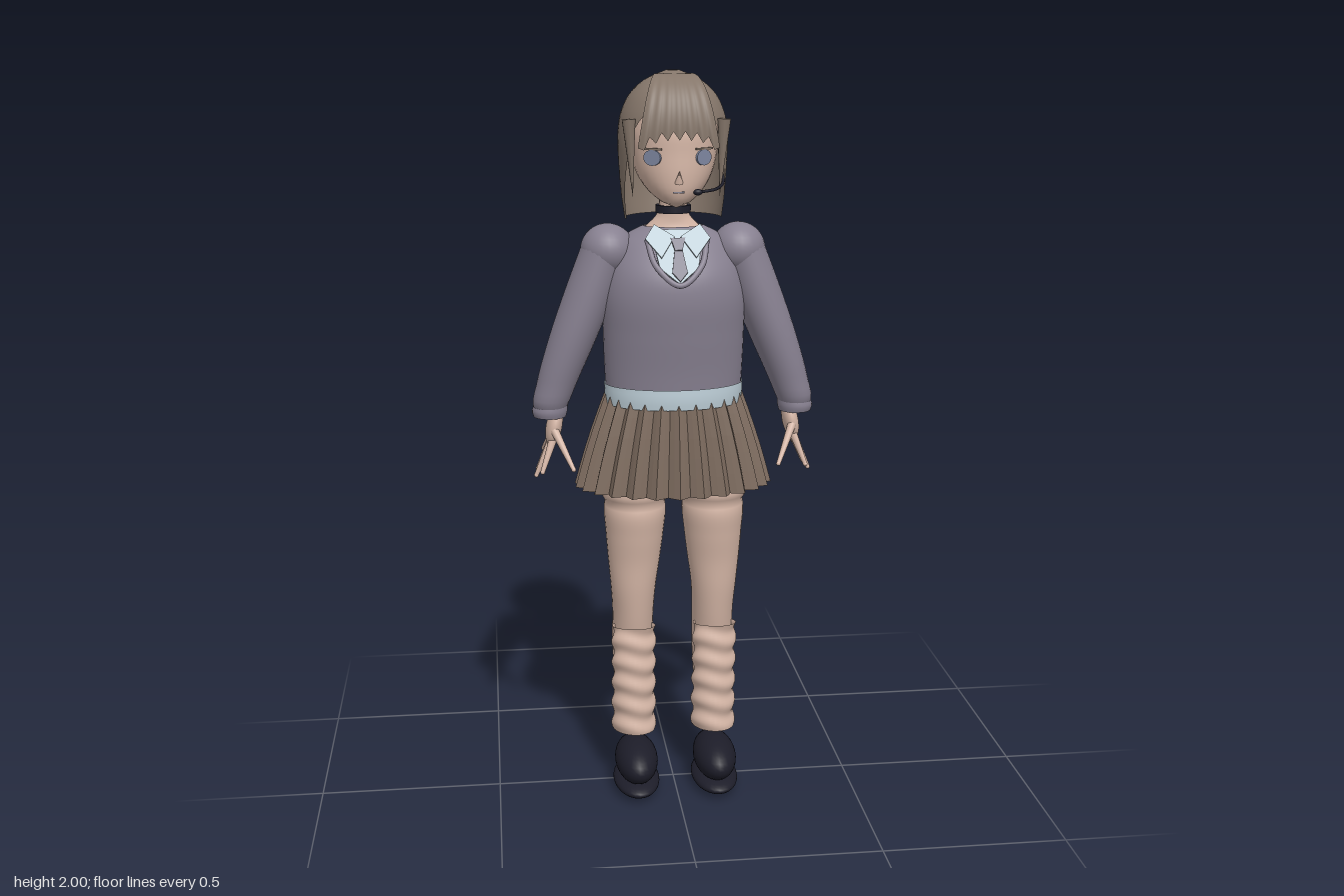
import * as THREE from 'three';

const mat = (name, color, double) => {
  const m = new THREE.MeshStandardMaterial({ color });
  m.name = name;
  if (double) m.side = THREE.DoubleSide;
  return m;
};

// Surface from fn(u, v) -> [x, y, z]; u runs round, v runs up
function grid(fn, nu, nv, closed = true, flat = false) {
  const pos = [], idx = [], w = closed ? nu : nu + 1;
  for (let j = 0; j <= nv; j++)
    for (let i = 0; i < w; i++) pos.push(...fn(i / nu, j / nv));
  for (let j = 0; j < nv; j++)
    for (let i = 0; i < nu; i++) {
      const a = j * w + i, b = j * w + ((i + 1) % w);
      idx.push(a, b, b + w, a, b + w, a + w);
    }
  let g = new THREE.BufferGeometry();
  g.setAttribute('position', new THREE.Float32BufferAttribute(pos, 3));
  g.setIndex(idx);
  if (flat) g = g.toNonIndexed();
  g.computeVertexNormals();
  return g;
}

// Smooth interpolation of rows [y, ...values], sorted by rising y
function rows(list) {
  const ys = new Float32Array(list.map((r) => r[0]));
  const vs = new Float32Array(list.flatMap((r) => r.slice(1)));
  const c = new THREE.CubicInterpolant(ys, vs, list[0].length - 1);
  return (v) => {
    const y = ys[0] + (ys[ys.length - 1] - ys[0]) * v;
    return [y, ...c.evaluate(y)];
  };
}

// Elliptical loft through rows [y, centreX, rx, zFront, zBack]
function loft(list, nu = 32, nv = 24, bump = () => 0, flat = false) {
  const at = rows(list);
  return grid((u, v) => {
    const [y, cx, rx, zf, zb] = at(v), a = u * Math.PI * 2, k = bump(u, v);
    return [cx + (rx + k) * Math.sin(a), y, (zf + zb) / 2 + ((zf - zb) / 2 + k) * Math.cos(a)];
  }, nu, nv, true, flat);
}

export function createModel() {
  const root = new THREE.Group();
  const skin = mat('skin', 0xd6b7a7, true), hair = mat('hair brown', 0x85766a, true);
  const knit = mat('sweater grey', 0x878090, true), shirt = mat('shirt pale blue', 0xbccdd6, true);
  const cloth = mat('skirt brown', 0x806e61, true), black = mat('black', 0x1d1d29);
  const iris = mat('eye blue grey', 0x7f88a2), tieMat = mat('tie grey', 0x83818f);
  const add = (name, geo, m, parent = root) => {
    const mesh = new THREE.Mesh(geo, m);
    mesh.name = name;
    parent.add(mesh);
    return mesh;
  };
  const tube = (pts, r, n = 24) => new THREE.TubeGeometry(
    new THREE.CatmullRomCurve3(pts.map((p) => new THREE.Vector3(...p))), n, r, 8);
  const ball = (name, m, p, s) => {
    const b = add(name, new THREE.SphereGeometry(1, 28, 18), m);
    b.position.set(...p);
    b.scale.set(...s);
    return b;
  };

  // Head and neck
  add('head', loft([
    [1.655, 0, 0.004, 0.08, 0.06], [1.665, 0, 0.03, 0.108, 0.03], [1.69, 0, 0.064, 0.124, -0.03],
    [1.73, 0, 0.094, 0.13, -0.08], [1.79, 0, 0.113, 0.13, -0.11], [1.86, 0, 0.12, 0.127, -0.125],
    [1.93, 0, 0.1, 0.095, -0.11], [1.985, 0, 0.02, 0.01, -0.03]]), skin);
  add('neck', loft([
    [1.57, 0, 0.105, 0.06, -0.085], [1.6, 0, 0.07, 0.045, -0.06], [1.63, 0, 0.043, 0.042, -0.045],
    [1.72, 0, 0.041, 0.045, -0.045]]), skin);
  const nose = add('nose', new THREE.ConeGeometry(0.011, 0.035, 8), skin);
  nose.position.set(0, 1.738, 0.135);
  nose.rotation.x = 0.45;
  const mouth = add('mouth', new THREE.BoxGeometry(0.03, 0.004, 0.006), tieMat);
  mouth.position.set(0, 1.698, 0.126);
  for (const s of [-1, 1]) {
    const eye = add('eye', new THREE.CylinderGeometry(1, 1, 0.006, 20).rotateX(Math.PI / 2), iris);
    eye.position.set(s * 0.066, 1.785, 0.11);
    eye.rotation.y = s * 0.62;
    eye.scale.set(0.025, 0.02, 1);
    const lash = add('eyelash', new THREE.BoxGeometry(0.055, 0.005, 0.006), hair);
    lash.position.set(s * 0.067, 1.807, 0.111);
    lash.rotation.y = s * 0.62;
  }

  // Bobbed hair, open at the face
  const hairRow = rows([
    [1.62, 0.128, -0.13, 1.36], [1.68, 0.136, -0.142, 1.28], [1.76, 0.142, -0.152, 1.1],
    [1.84, 0.144, -0.155, 0.92], [1.9, 0.133, -0.145, 0.6], [1.95, 0.104, -0.116, 0.1],
    [1.982, 0.062, -0.074, 0], [2, 0.017, -0.029, 0]]);
  add('bobHair', grid((u, v) => {
    const [y, r, back, gap] = hairRow(v), g = Math.max(0, gap);
    const a = g + u * 2 * (Math.PI - g);
    return [r * Math.sin(a), y, back + r + r * Math.cos(a)];
  }, 44, 30, false), hair);
  const crown = add('crownSpot', new THREE.CircleGeometry(0.018, 20), skin);
  crown.rotation.x = -Math.PI / 2;
  crown.position.set(0, 1.999, -0.012);

  // Swept fringe with pointed tips
  add('fringe', grid((u, v) => {
    const s = u * 2 - 1, t = (1 - v) * Math.PI / 2, f = 1 - v;
    const tooth = Math.abs(((u * 7) % 1) - 0.5) * 2;
    const drop = f ** 4 * (0.022 * (1 - tooth) + 0.03 * s ** 4);
    const ridge = 0.003 * f * Math.cos(u * 14 * Math.PI);
    return [s * (0.05 + 0.055 * f), 1.992 - 0.14 * (1 - Math.cos(t)) - drop - 0.012 * s * s * f,
      0.022 + 0.122 * Math.sin(t) - 0.012 * f * s * s - ridge];
  }, 56, 16, false), hair);
  for (const s of [-1, 1]) {
    const lock = add('sideLock', new THREE.ConeGeometry(0.018, 0.2, 10), hair);
    lock.position.set(s * 0.118, 1.78, 0.075);
    lock.rotation.set(Math.PI, 0, s * 0.05);
  }

  // Choker and headset microphone
  add('choker', new THREE.CylinderGeometry(0.047, 0.047, 0.02, 28), black).position.set(0, 1.644, 0);
  add('microphoneArm', tube([[0.122, 1.745, 0.03], [0.125, 1.72, 0.06], [0.1, 1.705, 0.11], [0.05, 1.7, 0.142]], 0.004), black);
  ball('microphone', black, [0.047, 1.7, 0.143], [0.012, 0.008, 0.008]);

  // Sweater body and shirt hem
  add('sweater', loft([
    [1.165, 0, 0.184, 0.128, -0.115], [1.22, 0, 0.187, 0.133, -0.118], [1.32, 0, 0.19, 0.146, -0.126],
    [1.42, 0, 0.19, 0.155, -0.132], [1.48, 0, 0.178, 0.146, -0.128], [1.53, 0, 0.162, 0.115, -0.112],
    [1.575, 0, 0.13, 0.078, -0.085], [1.6, 0, 0.08, 0.05, -0.06]], 48, 30), knit);
  add('shirtHem', loft([[1.125, 0, 0.184, 0.134, -0.12], [1.15, 0, 0.187, 0.136, -0.122],
    [1.18, 0, 0.188, 0.134, -0.121]], 40, 4), shirt);

  // Pleated skirt
  add('skirt', loft([
    [0.89, 0, 0.26, 0.162, -0.168], [0.98, 0, 0.236, 0.152, -0.154],
    [1.07, 0, 0.208, 0.14, -0.136], [1.155, 0, 0.178, 0.124, -0.114]], 104, 5,
  (u, v) => (0.012 - 0.004 * v) * Math.cos(u * 26 * 2 * Math.PI), true), cloth);

  // Shirt front, collar flaps, tie and V trim, all on one sloping plane
  const neckline = new THREE.Group();
  neckline.name = 'neckline';
  neckline.position.set(0, 1.465, 0.162);
  neckline.rotation.x = -0.56;
  root.add(neckline);
  const plate = (name, pts, m, z) => {
    const g = new THREE.ExtrudeGeometry(new THREE.Shape(pts.map((p) => new THREE.Vector2(...p))),
      { depth: 0.006, bevelEnabled: false });
    add(name, g, m, neckline).position.z = z;
  };
  plate('shirtFront', [[0, 0], [0.05, 0.045], [0.07, 0.155], [-0.07, 0.155], [-0.05, 0.045]], shirt, 0);
  plate('tieBlade', [[0, 0.005], [0.02, 0.03], [0.01, 0.095], [-0.01, 0.095], [-0.02, 0.03]], tieMat, 0.007);
  plate('tieKnot', [[-0.01, 0.09], [0.01, 0.09], [0.019, 0.125], [-0.019, 0.125]], tieMat, 0.012);
  for (const s of [-1, 1])
    plate('collarFlap', [[s * 0.008, 0.13], [s * 0.045, 0.07], [s * 0.085, 0.125], [s * 0.06, 0.165]], shirt, 0.01);
  add('neckTrim', tube([[-0.078, 0.13, -0.004], [-0.058, 0.05, 0.002], [0, -0.004, 0.004],
    [0.058, 0.05, 0.002], [0.078, 0.13, -0.004]], 0.008, 32), knit, neckline);

  for (const s of [-1, 1]) {
    // Sleeve with rounded shoulder and cuff
    ball('shoulder', knit, [s * 0.175, 1.537, 0], [0.072, 0.07, 0.078]);
    add('sleeve', loft([
      [1.1, s * 0.334, 0.036, 0.042, -0.032], [1.115, s * 0.335, 0.045, 0.052, -0.042],
      [1.18, s * 0.316, 0.054, 0.062, -0.054], [1.3, s * 0.272, 0.064, 0.074, -0.067],
      [1.42, s * 0.226, 0.068, 0.077, -0.072], [1.55, s * 0.18, 0.064, 0.073, -0.072]], 28, 24), knit);
    add('cuff', loft([[1.09, s * 0.336, 0.044, 0.05, -0.042], [1.105, s * 0.336, 0.048, 0.054, -0.046],
      [1.122, s * 0.333, 0.046, 0.052, -0.044]], 28, 5), knit);

    // Hand with splayed fingers
    const palm = ball('palm', skin, [s * 0.325, 1.06, 0], [0.022, 0.055, 0.04]);
    palm.rotation.z = s * 0.2;
    const tips = [[0.278, 0.96, 0.09], [0.36, 0.945, 0.05], [0.376, 0.925, 0.006],
      [0.37, 0.932, -0.036], [0.352, 0.975, -0.092]];
    tips.forEach((t, i) => {
      const a = new THREE.Vector3(s * 0.325, 1.055 - (i ? 0.015 : 0), 0.03 - i * 0.014);
      const b = new THREE.Vector3(s * t[0], t[1], t[2]), d = b.clone().sub(a);
      const f = add(i ? 'finger' : 'thumb', new THREE.CylinderGeometry(0.006, 0.012, d.length(), 10), skin);
      f.position.copy(a).addScaledVector(d, 0.5);
      f.quaternion.setFromUnitVectors(new THREE.Vector3(0, 1, 0), d.normalize());
      ball('fingertip', skin, b.toArray(), [0.0062, 0.0062, 0.0062]);
    });

    // Leg, with a soft fold at the top of the thigh
    add('leg', loft([
      [0.18, s * 0.114, 0.042, 0.02, -0.068], [0.3, s * 0.114, 0.052, 0.035, -0.092],
      [0.42, s * 0.114, 0.057, 0.045, -0.105], [0.52, s * 0.113, 0.058, 0.064, -0.088],
      [0.6, s * 0.113, 0.063, 0.077, -0.066], [0.68, s * 0.111, 0.072, 0.086, -0.066],
      [0.76, s * 0.109, 0.08, 0.1, -0.075], [0.835, s * 0.108, 0.085, 0.108, -0.08],
      [0.85, s * 0.108, 0.082, 0.103, -0.077], [0.87, s * 0.109, 0.091, 0.114, -0.087],
      [0.9, s * 0.109, 0.09, 0.112, -0.086], [0.97, s * 0.109, 0.085, 0.1, -0.08]], 32, 60), skin);

    // Slouchy sock in front of the calf
    add('looseSock', loft([
      [0.165, s * 0.114, 0.06, 0.066, -0.06], [0.25, s * 0.114, 0.06, 0.066, -0.055],
      [0.37, s * 0.114, 0.059, 0.066, -0.03], [0.485, s * 0.114, 0.06, 0.064, -0.005]], 28, 48,
    (u, v) => 0.004 * Math.sin(v * 10 * Math.PI + Math.sin(u * 4 * Math.PI))), skin);

    // Shoe: rounded upper on a wide sole
    ball('shoeUpper', black, [s * 0.112, 0.093, 0.058], [0.06, 0.058, 0.12]);
    ball('shoeSole', black, [s * 0.112, 0.031, 0.053], [0.065, 0.027, 0.124]);
  }
  return root;
}
